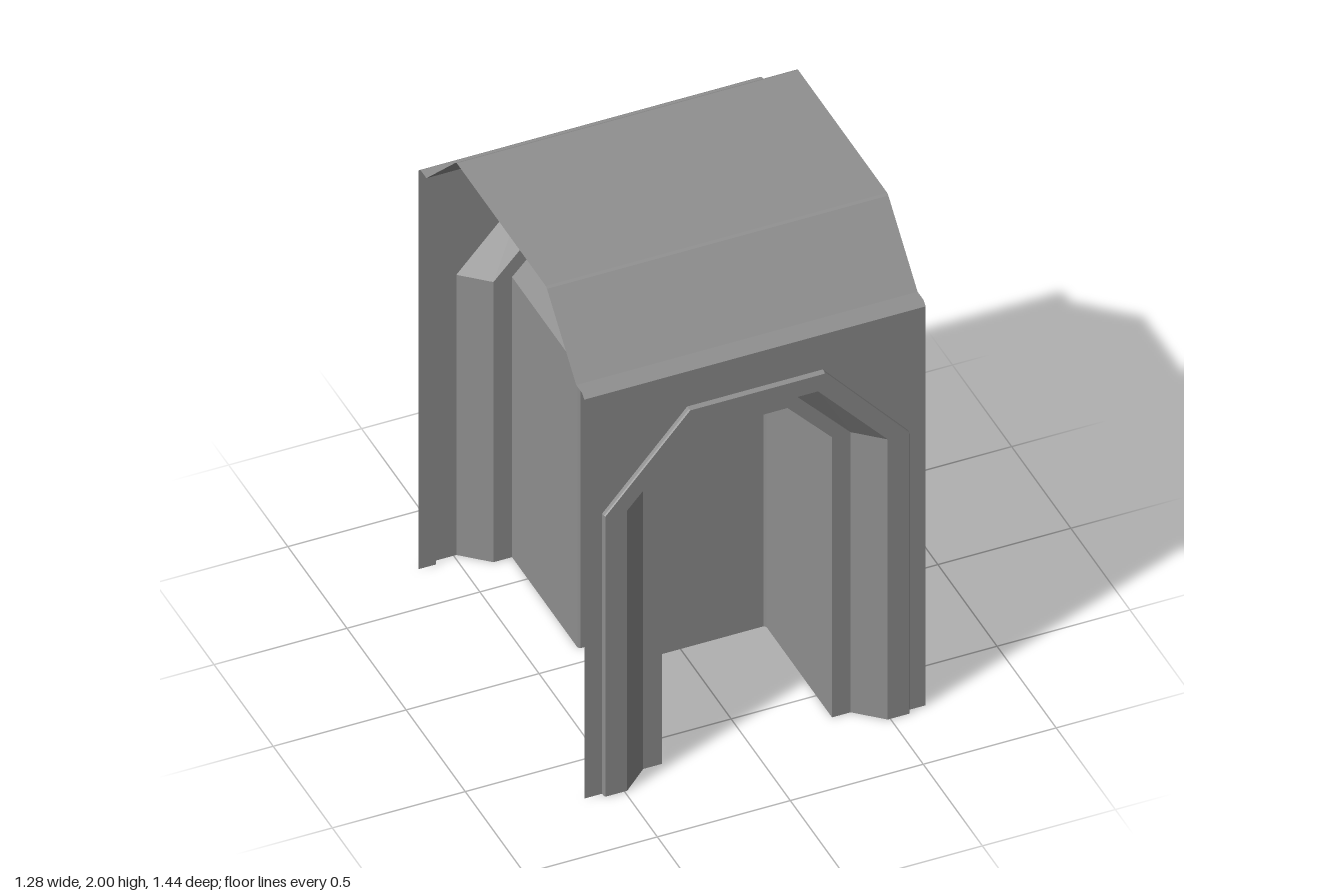
import * as THREE from 'three';

const material = new THREE.MeshStandardMaterial({
  color: 0x909090, flatShading: true, side: THREE.DoubleSide,
});
const SPRING = 1.22; // height where the arch starts to slope inward

// Open arch outline: half width, half width of the flat top, top height
const arch = (w, c, t) => [[-w, 0], [-w, SPRING], [-c, t], [c, t], [w, SPRING], [w, 0]];
const ring = (w, c, t, z) => arch(w, c, t).map(([x, y]) => [x, y, z]);

// Surface through a row of open cross-sections
function loft(name, rings) {
  const pos = [];
  for (let r = 0; r < rings.length - 1; r++) {
    const a = rings[r], b = rings[r + 1];
    for (let i = 0; i < a.length - 1; i++) {
      pos.push(...a[i], ...b[i], ...b[i + 1], ...a[i], ...b[i + 1], ...a[i + 1]);
    }
  }
  const geo = new THREE.BufferGeometry();
  geo.setAttribute('position', new THREE.Float32BufferAttribute(pos, 3));
  geo.computeVertexNormals();
  return named(name, geo);
}

function named(name, geo) {
  const mesh = new THREE.Mesh(geo, material);
  mesh.name = name;
  return mesh;
}

// Flat sheet facing +z
function sheet(name, points, z) {
  const shape = new THREE.Shape(points.map(([x, y]) => new THREE.Vector2(x, y)));
  return named(name, new THREE.ShapeGeometry(shape).translate(0, 0, z));
}

function createFace(name) {
  const g = new THREE.Group();
  g.name = name;
  // Wall with the doorway cut up from the floor
  g.add(sheet('wall', [
    ...arch(0.575, 0.255, 1.585), [0.642, 0], [0.642, 1.737], [-0.642, 1.737], [-0.642, 0],
  ], 0.702));
  // Raised trim with a softened rim, splayed bevel and inner border
  g.add(loft('archTrim', [
    ring(0.575, 0.255, 1.585, 0.702),
    ring(0.575, 0.255, 1.585, 0.717),
    ring(0.571, 0.253, 1.581, 0.722),
    ring(0.49, 0.228, 1.512, 0.722),
    ring(0.39, 0.185, 1.442, 0.633),
    ring(0.32, 0.153, 1.4, 0.633),
  ]));
  // Deep recess with a small chamfer at its closed end
  g.add(loft('recess', [
    ring(0.32, 0.153, 1.4, 0.633),
    ring(0.32, 0.153, 1.4, 0.079),
    ring(0.312, 0.149, 1.392, 0.072),
  ]));
  g.add(sheet('recessPanel', arch(0.312, 0.149, 1.392), 0.072));
  return g;
}

export function createModel() {
  const model = new THREE.Group();
  model.name = 'archedPassage';

  const front = createFace('frontFace');
  const back = createFace('backFace');
  back.rotation.y = Math.PI;
  model.add(front, back);

  // Roof sheet with a narrow ledge, sloped shoulders and softened ridges, open at both ends
  const half = [[0.702, 1.737], [0.682, 1.752], [0.633, 1.752], [0.386, 1.995], [0.376, 2]];
  const profile = [...half, ...half.map(([z, y]) => [-z, y]).reverse()];
  const edge = (x) => profile.map(([z, y]) => [x, y, z]);
  model.add(loft('roof', [edge(-0.642), edge(0.642)]));

  return model;
}
